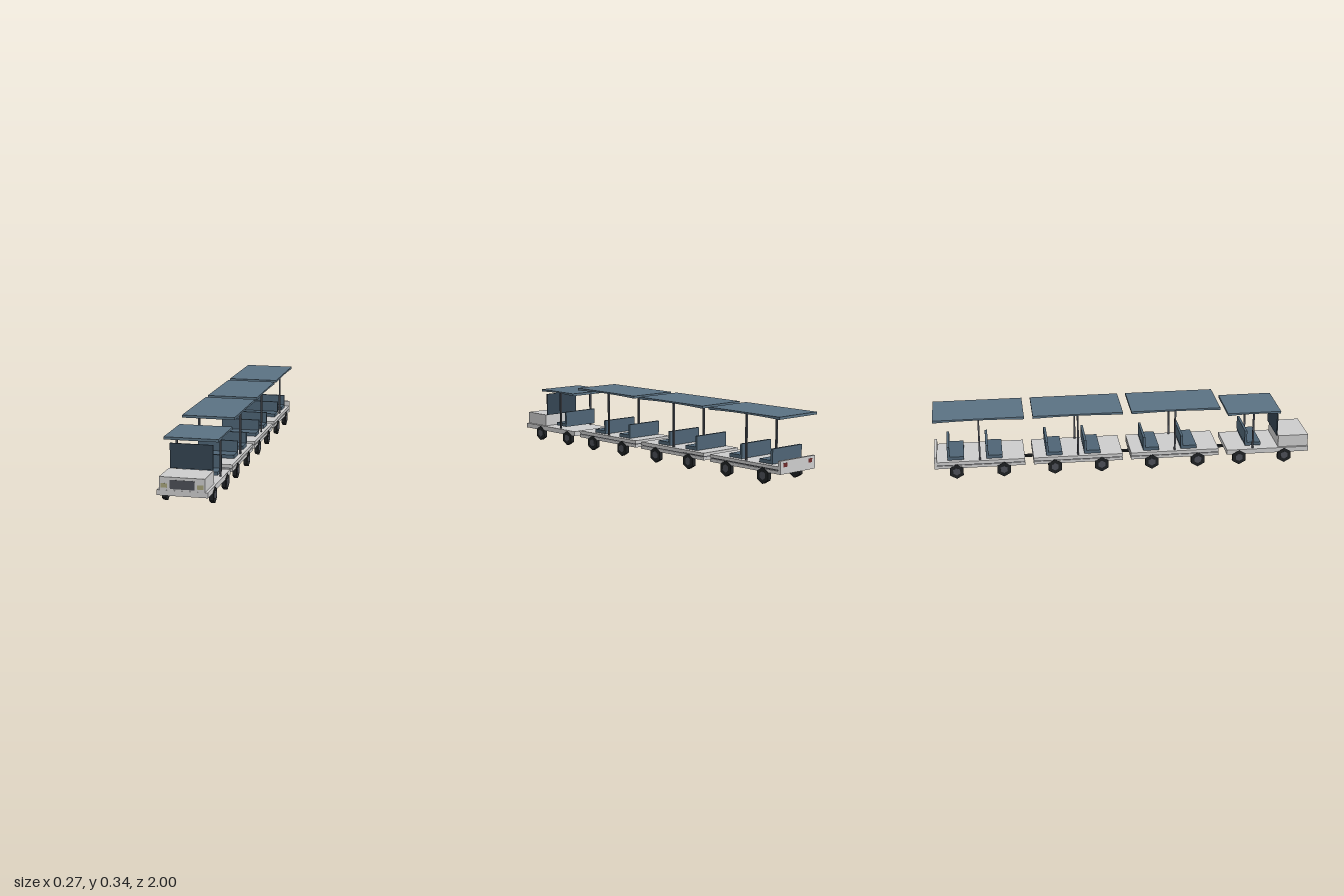
import * as THREE from 'three';

const paint = (color) => new THREE.MeshStandardMaterial({ color, flatShading: true });
const body = paint(0xcccccc);
const roofPaint = paint(0x5a7182);
const seatPaint = paint(0x4e6475);
const glass = paint(0x344452);
const black = paint(0x1e2123);
const darkGrey = paint(0x4c4f57);
const headlightPaint = paint(0xa5a37a);
const tailLightPaint = paint(0x6e2a2a);

// Box given by its limits on each axis
function box(parent, name, mat, [x0, x1], [y0, y1], [z0, z1]) {
  const mesh = new THREE.Mesh(new THREE.BoxGeometry(x1 - x0, y1 - y0, z1 - z0), mat);
  mesh.position.set((x0 + x1) / 2, (y0 + y1) / 2, (z0 + z1) / 2);
  mesh.name = name;
  parent.add(mesh);
  return mesh;
}

// Six-sided wheel with a hub on its outer face
function wheel(parent, side, z) {
  const group = new THREE.Group();
  group.name = 'wheel';
  const disc = (name, r, w, x, mat) => {
    const geo = new THREE.CylinderGeometry(r, r, w, 6).rotateY(Math.PI / 6).rotateZ(Math.PI / 2);
    const mesh = new THREE.Mesh(geo, mat);
    mesh.name = name;
    mesh.position.x = side * x;
    group.add(mesh);
  };
  disc('tyre', 0.041, 0.021, 0.1155, black);
  disc('hub', 0.021, 0.021, 0.1165, darkGrey);
  group.position.set(0, 0.041, z);
  parent.add(group);
}

// Canopy with a flat top and a gently arched underside
function canopy(parent, top, z0, z1) {
  const half = (z1 - z0) / 2;
  const profile = new THREE.Shape();
  profile.moveTo(-half, 0);
  profile.lineTo(-half, -0.013);
  for (let i = 0; i <= 8; i++) {
    const t = i / 4 - 1;
    profile.lineTo(t * half * 0.94, -0.008 - 0.005 * t * t);
  }
  profile.lineTo(half, -0.013);
  profile.lineTo(half, 0);
  const geo = new THREE.ExtrudeGeometry(profile, { depth: 0.27, bevelEnabled: false });
  geo.translate(0, 0, -0.135).rotateY(-Math.PI / 2);
  const mesh = new THREE.Mesh(geo, roofPaint);
  mesh.name = 'roof';
  mesh.position.set(0, top, (z0 + z1) / 2);
  parent.add(mesh);
}

// Forward-facing bench; z is the rear face of its back
function bench(parent, z, backTop) {
  const group = new THREE.Group();
  group.name = 'bench';
  box(group, 'cushion', seatPaint, [-0.105, 0.105], [0.099, 0.117], [z, z + 0.085]);
  box(group, 'backrest', seatPaint, [-0.105, 0.105], [0.112, backTop], [z - 0.002, z + 0.011]);
  parent.add(group);
}

function posts(parent, z, y0, y1) {
  for (const s of [-1, 1]) {
    box(parent, 'roofPost', darkGrey, [s * 0.109 - 0.0045, s * 0.109 + 0.0045], [y0, y1], [z - 0.0045, z + 0.0045]);
  }
}

function tractor() {
  const g = new THREE.Group();
  g.name = 'tractor';
  box(g, 'chassis', body, [-0.124, 0.124], [0.059, 0.085], [0.555, 1]);
  box(g, 'hood', body, [-0.111, 0.111], [0.085, 0.149], [0.836, 0.999]);
  box(g, 'grille', darkGrey, [-0.059, 0.059], [0.092, 0.136], [0.99, 1]);
  for (const s of [-1, 1]) {
    box(g, 'headlight', headlightPaint, [s * 0.088 - 0.015, s * 0.088 + 0.015], [0.097, 0.118], [0.99, 1]);
    for (const z of [0.869, 0.622]) wheel(g, s, z);
  }
  box(g, 'windshield', glass, [-0.106, 0.106], [0.149, 0.271], [0.826, 0.832]);
  bench(g, 0.655, 0.184);
  posts(g, 0.697, 0.085, 0.292);
  canopy(g, 0.301, 0.552, 0.838);
  return g;
}

function trailer(isLast) {
  const g = new THREE.Group();
  g.name = 'trailer';
  const length = [-0.236, 0.236];
  box(g, 'chassis', body, [-0.124, 0.124], [0.06, 0.076], length);
  box(g, 'chassisGap', darkGrey, [-0.119, 0.119], [0.076, 0.081], [-0.232, 0.232]);
  box(g, 'deck', body, [-0.124, 0.124], [0.081, 0.097], length);
  for (const s of [-1, 1]) for (const z of [0.124, -0.124]) wheel(g, s, z);
  for (const z of [0.034, -0.168]) bench(g, z, 0.174);
  posts(g, 0, 0.085, 0.331);
  canopy(g, 0.338, ...length);
  // Tail board with lamps closes the last car
  if (isLast) {
    box(g, 'tailBoard', body, [-0.125, 0.125], [0.06, 0.126], [-0.238, -0.224]);
    for (const s of [-1, 1]) {
      box(g, 'tailLight', tailLightPaint, [s * 0.09 - 0.014, s * 0.09 + 0.014], [0.094, 0.114], [-0.239, -0.23]);
    }
  }
  return g;
}

export function createModel() {
  const model = new THREE.Group();
  model.name = 'passengerRoadTrain';
  model.add(tractor());
  [0.273, -0.244, -0.761].forEach((z, i) => {
    const car = trailer(i === 2);
    car.position.z = z;
    model.add(car);
    // Drawbar to the vehicle ahead
    box(model, 'drawbar', black, [-0.01, 0.01], [0.053, 0.063], [z + 0.22, z + 0.297]);
  });
  return model;
}
